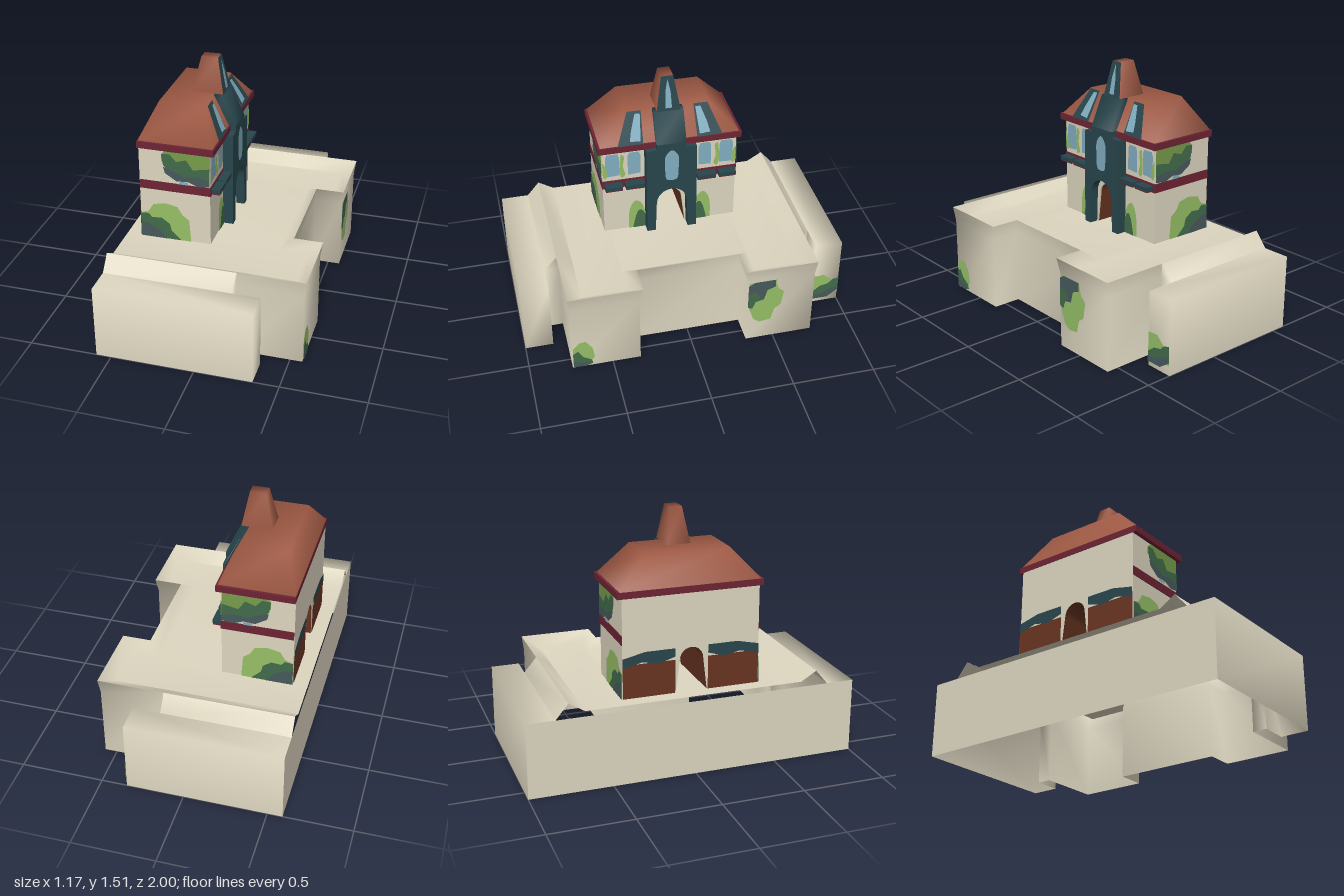
import * as THREE from 'three';
import { mergeVertices } from 'three/addons/utils/BufferGeometryUtils.js';

const mat = (name, color) => new THREE.MeshStandardMaterial({ name, color, side: THREE.DoubleSide });

export function createModel() {
  const M = {
    stone: mat('stone', 0xddd6c0), roof: mat('roofTile', 0x9c5843), maroon: mat('maroon', 0x6e2434),
    teal: mat('darkTeal', 0x28464d), glass: mat('glass', 0x82aec0), leaf: mat('lightLeaf', 0x96bf66),
    olive: mat('oliveLeaf', 0x769c4b), shade: mat('darkLeaf', 0x426c4b), slate: mat('slateLeaf', 0x475a5c),
    wood: mat('brownWood', 0x6a3522),
  };
  const root = new THREE.Group();
  root.name = 'gatehouse';

  const add = (name, geo, m) => {
    const mesh = new THREE.Mesh(geo, m);
    mesh.name = name;
    root.add(mesh);
    return mesh;
  };
  const box = (name, m, [x0, x1], [y0, y1], [z0, z1]) =>
    add(name, new THREE.BoxGeometry(x1 - x0, y1 - y0, z1 - z0), m)
      .position.set((x0 + x1) / 2, (y0 + y1) / 2, (z0 + z1) / 2);

  // polygons given as corner lists, fanned into triangles; shared corners are shaded smoothly
  const surface = (name, m, polys) => {
    const p = [];
    for (const q of polys)
      for (let i = 1; i < q.length - 1; i++) p.push(...q[0], ...q[i], ...q[i + 1]);
    let g = new THREE.BufferGeometry();
    g.setAttribute('position', new THREE.Float32BufferAttribute(p, 3));
    g = mergeVertices(g);
    g.computeVertexNormals();
    return add(name, g, m);
  };
  // band of quads between two matching paths
  const strip = (lo, hi, closed) => lo.map((a, i) => {
    const j = (i + 1) % lo.length;
    return [a, lo[j], hi[j], hi[i]];
  }).slice(0, closed ? lo.length : -1);
  const frustum = (name, m, y0, [a0, a1, w0], y1, [b0, b1, w1]) => {
    const ring = (y, x0, x1, w) => [[x0, y, w], [x1, y, w], [x1, y, -w], [x0, y, -w]];
    const lo = ring(y0, a0, a1, w0), hi = ring(y1, b0, b1, w1);
    surface(name, m, [...strip(lo, hi, true), hi]);
  };

  // upright panel; points are (z, y) for x sides and (x, y) for z sides
  const turn = { '+x': [-1, Math.PI / 2], '-x': [1, -Math.PI / 2], '+z': [1, 0], '-z': [-1, Math.PI] };
  const panel = (name, m, side, pos, pts, { depth = 0, round = false } = {}) => {
    const [flip, angle] = turn[side];
    const v = pts.map(([a, y]) => new THREE.Vector2(a * flip, y));
    let shape = new THREE.Shape(v);
    if (round) {
      shape = new THREE.Shape().moveTo(v[0].x, v[0].y);
      shape.splineThru([...v.slice(1), v[0].clone()]);
    }
    const g = depth ? new THREE.ExtrudeGeometry(shape, { depth, bevelEnabled: false })
      : new THREE.ShapeGeometry(shape, 5);
    g.rotateY(angle);
    add(name, g, m).position[side[1]] = pos;
  };
  const rect = (a0, a1, y0, y1) => [[a0, y0], [a1, y0], [a1, y1], [a0, y1]];
  const flipA = (pts, s) => pts.map(([a, y]) => [a * s, y]);

  // ---- Terrace base: half outlines in (x, z), mirrored across z; the deck is sunk behind its rim ----
  const reflect = half => half.map(([x, z]) => [x, -z]).reverse();
  const mirror = half => [...half, ...reflect(half)];
  const at = (path, y) => path.map(([x, z]) => [x, y, z]);
  const H = 0.455, T = 0.545, F = 0.487;
  const inset = [[.18, .83], [.18, .745], [.573, .745], [.573, .33], [.40, .33]];
  const ledge = mirror([[-.59, .83], ...inset]);
  const rim = mirror([[-.59, .755], [.18, .755], [.19, .755], [.585, .755], [.585, .31], [.41, .31]]);
  const sunk = mirror([[-.59, .66], [.18, .66], [.19, .66], [.505, .66], [.505, .385], [.335, .385]]);
  const flat = (y, x1, z0, z1) => [[x1, y, z1], [x1, y, z0], [-.59, y, z0], [-.59, y, z1]];
  surface('terrace', M.stone, [
    ...strip(at(mirror(inset), 0), at(mirror(inset), H), false),
    ...strip(at(ledge, H), at(rim, T), false),
  ]);
  surface('deck', M.stone, [
    ...strip(at(rim, T), at(sunk, F), false),
    flat(F, .505, .385, .66), flat(F, .335, -.385, .385), flat(F, .505, -.66, -.385),
  ]);
  const wing = [[-.59, 1], [.345, 1], [.345, .83], [.18, .83]];
  for (const path of [wing, reflect(wing)]) {
    const zs = path.map(p => p[1]);
    surface('wing', M.stone, [
      ...strip(at(path, 0), at(path, H), false), flat(H, .345, Math.min(...zs), Math.max(...zs)),
    ]);
  }
  panel('terraceBack', M.stone, '-x', -.59, rect(-1, 1, 0, H));

  // ---- House walls with a passage through the middle ----
  const arch = (w0, w1, spring, top) => {
    const pts = [[w0, F]];
    for (let i = 0; i <= 12; i++) {
      const a = Math.PI * i / 12;
      pts.push([w1 * Math.cos(a), spring + (top - spring) * Math.sin(a)]);
    }
    return [...pts, [-w0, F]];
  };
  const inner = arch(.095, .072, .68, .755), outer = arch(.102, .095, .69, .79);
  const gated = [[-.415, F], [-.415, 1.1], [.415, 1.1], [.415, F], ...inner];
  panel('frontWall', M.stone, '+x', -.07, gated);
  panel('backWall', M.stone, '-x', -.5, gated);
  for (const s of [1, -1])
    panel('sideWall', M.stone, s > 0 ? '+z' : '-z', s * .415, rect(-.5, -.07, F, 1.1));
  surface('passage', M.wood, strip(inner.map(([z, y]) => [-.5, y, z]), inner.map(([z, y]) => [-.07, y, z]), false));
  box('floorBand', M.maroon, [-.498, -.065], [.81, .865], [-.419, .419]);
  for (const s of [1, -1]) {
    panel('backPlinth', M.wood, '-x', -.504, flipA(rect(.10, .415, F, .69), s));
    panel('backBand', M.teal, '-x', -.506,
      flipA([[.10, .71], [.2, .68], [.3, .70], [.415, .67], [.415, .73], [.28, .76], [.10, .76]], s));
    const z = [.1 * s, .415 * s].sort((p, q) => p - q);
    box('houseUnderside', M.teal, [-.5, -.07], [F - .008, F - .002], z);
  }

  // ---- Central tower ----
  const tower = [[-.155, F], [-.155, 1.08], [-.09, 1.085], [-.09, 1.12], [.09, 1.12], [.09, 1.085], [.155, 1.08], [.155, F]];
  panel('tower', M.teal, '+x', -.07, [...tower, ...outer], { depth: .063 });
  panel('archTrim', M.stone, '+x', -.07, [...outer, ...[...inner].reverse()], { depth: .01 });
  const lancet = [[0, .855], [.035, .87], [.042, .95], [.04, 1.03], [0, 1.075], [-.04, 1.03], [-.042, .95], [-.035, .87]];
  panel('towerWindow', M.glass, '+x', -.004, lancet, { round: true });

  // ---- Roof, tower gable and spire ----
  box('eaves', M.maroon, [-.502, -.04], [1.08, 1.12], [-.44, .44]);
  frustum('mainRoof', M.roof, 1.12, [-.5, -.05, .425], 1.305, [-.42, -.14, .255]);
  frustum('towerGable', M.teal, 1.12, [-.14, -.007, .09], 1.304, [-.14, -.09, .09]);
  frustum('spire', M.roof, 1.3, [-.28, -.092, .072], 1.515, [-.23, -.132, .036]);
  const sloped = (name, m, xAt, pts, s = 1) => {
    const c = pts.map(([z, y]) => [xAt(y), y, z * s]);
    surface(name, m, [s > 0 ? c : c.reverse()]);
  };
  const roofX = d => y => -.05 - .09 * (y - 1.12) / .185 + d;
  const spireX = d => y => -.092 - .04 * (y - 1.3) / .215 + d;
  sloped('spireFront', M.teal, spireX(.004), [[.073, 1.3], [-.073, 1.3], [-.037, 1.515], [.037, 1.515]]);
  sloped('spireWindow', M.glass, spireX(.009), [[.02, 1.32], [-.02, 1.32], [-.016, 1.42], [0, 1.5], [.016, 1.42]]);
  for (const s of [1, -1]) {
    sloped('dormer', M.teal, roofX(.01), [[.32, 1.122], [.165, 1.122], [.16, 1.303], [.245, 1.303]], s);
    sloped('dormerWindow', M.glass, roofX(.016), [[.245, 1.145], [.18, 1.14], [.168, 1.29], [.2, 1.29], [.232, 1.2]], s);
  }

  // ---- Upper windows, sills and climbing plants on the house ----
  for (const s of [1, -1]) {
    for (const [a, b] of [[.18, .258], [.31, .395]]) {
      const w = [[a, .9], [b, .895], [b, 1.03], [b - .01, 1.055], [a + .01, 1.055], [a, 1.03]];
      panel('upperWindow', M.glass, '+x', -.066, flipA(w, s));
    }
    for (const [a, b] of [[.165, .28], [.3, .405]]) {
      const z = [a * s, b * s].sort((p, q) => p - q);
      box('sill', M.teal, [-.07, -.012], [.828, .852], z);
      box('sillUnderside', M.maroon, [-.07, -.014], [.82, .828], z);
    }
    const vine = (name, m, d, pts) => panel(name, m, '+x', -.066 + d, flipA(pts, s), { round: true });
    vine('cornerVine', M.leaf, .002, [[.412, .9], [.412, 1.0], [.395, .97], [.385, .92], [.395, .885]]);
    vine('windowVine', M.leaf, .002, [[.3, 1.05], [.28, 1.03], [.287, .96], [.275, .9], [.3, .885], [.31, .95]]);
    vine('doorVine', M.leaf, 0, [[.26, F], [.255, .62], [.22, .69], [.18, .67], [.157, .6], [.157, F]]);
    vine('doorVineShade', M.shade, .002, [[.235, F], [.21, .59], [.185, .62], [.157, .58], [.157, F]]);

    const side = s > 0 ? '+z' : '-z';
    const climb = (name, m, d, pts) => panel(name, m, side, s * (.419 + d), pts);
    climb('upperBush', M.olive, 0,
      [[-.36, 1.0], [-.36, 1.05], [-.33, 1.078], [-.07, 1.078], [-.07, .93], [-.15, .95], [-.25, .94]]);
    climb('upperBushShade', M.shade, .002,
      [[-.36, 1.05], [-.31, 1.055], [-.27, 1.01], [-.21, 1.03], [-.17, .97], [-.07, .99], [-.07, .90], [-.2, .90], [-.31, .93], [-.35, .98]]);
    climb('upperBushBase', M.slate, .004,
      [[-.35, .97], [-.29, .95], [-.22, .92], [-.14, .93], [-.07, .91], [-.07, .875], [-.14, .865], [-.2, .89], [-.27, .885], [-.34, .93]]);
    climb('sideGlass', M.glass, .005, [[-.26, .868], [-.2, .868], [-.2, .888], [-.25, .886]]);
    climb('lowerBush', M.leaf, 0,
      [[-.5, F], [-.5, .64], [-.45, .66], [-.42, .71], [-.34, .725], [-.27, .71], [-.24, .66], [-.2, .63], [-.19, F]]);
    climb('lowerBushShade', M.shade, .002,
      [[-.5, F], [-.5, .64], [-.45, .645], [-.43, .62], [-.37, .625], [-.32, .59], [-.31, .545], [-.25, F]]);
    climb('lowerBushBase', M.slate, .004, [[-.5, F], [-.5, .585], [-.46, .58], [-.42, .56], [-.38, .54], [-.34, F]]);
  }

  // ---- Plants on the terrace wall ----
  const ivy = (name, m, x, pts) => panel(name, m, '+x', x, pts);
  ivy('cornerIvy', M.leaf, .577, [[.74, .02], [.74, .15], [.7, .195], [.66, .2], [.62, .14], [.61, .07], [.64, .02]]);
  ivy('cornerIvyShade', M.shade, .579, [[.74, .02], [.74, .11], [.71, .13], [.68, .08], [.63, .05], [.62, .02], [.66, .005]]);
  ivy('cornerIvyBase', M.slate, .581, [[.74, .01], [.74, .05], [.7, .04], [.64, .03], [.66, .005]]);
  ivy('wallIvy', M.leaf, .577,
    [[-.34, .25], [-.335, .45], [-.5, .45], [-.52, .38], [-.555, .35], [-.54, .25], [-.5, .22], [-.48, .14], [-.41, .13], [-.37, .16]]);
  ivy('wallIvyShade', M.slate, .579,
    [[-.332, .26], [-.332, .43], [-.37, .453], [-.5, .453], [-.5, .40], [-.45, .38], [-.43, .31], [-.38, .30], [-.36, .25]]);
  ivy('wallIvyPatch', M.shade, .581, [[-.334, .27], [-.334, .36], [-.38, .38], [-.41, .33], [-.38, .305], [-.36, .26]]);
  ivy('wingIvy', M.leaf, .349, [[-.83, .08], [-.83, .21], [-.9, .215], [-.95, .17], [-1, .12], [-1, .06]]);
  ivy('wingIvyShade', M.shade, .351, [[-.83, .04], [-.83, .09], [-.88, .13], [-.93, .14], [-.96, .17], [-1, .18], [-1, .08], [-.92, .04]]);
  ivy('wingIvyBase', M.slate, .353, [[-.83, .03], [-.83, .06], [-.9, .07], [-.95, .1], [-1, .11], [-1, .08], [-.93, .03]]);

  return root;
}
